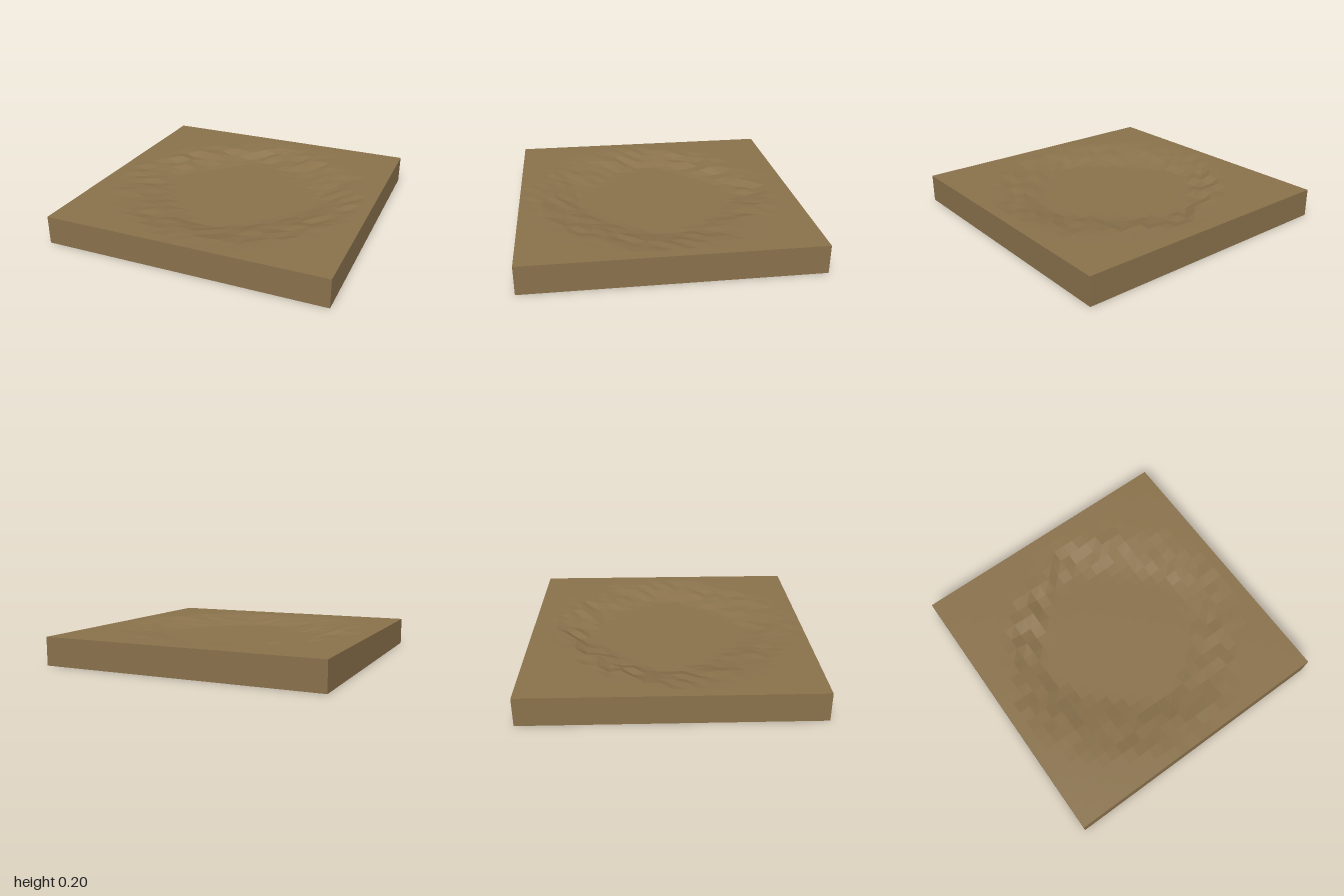
import * as THREE from 'three';

const TOP = 0.2, DEPTH = 0.06, CELLS = 24;

// Repeatable roughness in -1..1 for one grid point
function rough(i, j) {
  const s = Math.sin(i * 12.9898 + j * 78.233) * 43758.5453;
  return 2 * (s - Math.floor(s)) - 1;
}

// Height of the ground: flat border, uneven bank, flat hollow in the middle
function groundHeight(x, z) {
  const r = Math.hypot(x, z), angle = Math.atan2(z, x);
  const inner = 0.55 + 0.04 * Math.cos(4 * angle);
  // The back left bank is steeper than the others
  const steep = Math.max(0, Math.cos(angle + 2.2));
  const outer = 0.97 - 0.12 * steep;
  const t = THREE.MathUtils.clamp((r - inner) / (outer - inner), 0, 1);
  const i = Math.round(x * CELLS / 2), j = Math.round(z * CELLS / 2);
  const bump = rough(i, j) * (0.009 + 0.012 * steep) * Math.sin(Math.PI * t);
  const rise = 1 - Math.pow(1 - t, 1.6);
  return THREE.MathUtils.clamp(TOP - DEPTH * (1 - rise) + bump, TOP - DEPTH, TOP);
}

export function createModel() {
  const group = new THREE.Group();
  group.name = 'groundTile';
  const earth = new THREE.MeshStandardMaterial({ color: 0x8a724c });
  earth.name = 'earth brown';

  // Square slab whose upper face is sunk into a shallow hollow
  const box = new THREE.BoxGeometry(2, TOP, 2, CELLS, 1, CELLS);
  box.translate(0, TOP / 2, 0);
  const p = box.attributes.position;
  for (let i = 0; i < p.count; i++) {
    const x = p.getX(i), z = p.getZ(i);
    const onEdge = Math.max(Math.abs(x), Math.abs(z)) > 0.99;
    if (p.getY(i) > 0.1 && !onEdge) p.setY(i, groundHeight(x, z));
  }
  // Faceted normals
  const faceted = box.toNonIndexed();
  faceted.computeVertexNormals();

  const slab = new THREE.Mesh(faceted, earth);
  slab.name = 'groundSlab';
  group.add(slab);
  return group;
}
